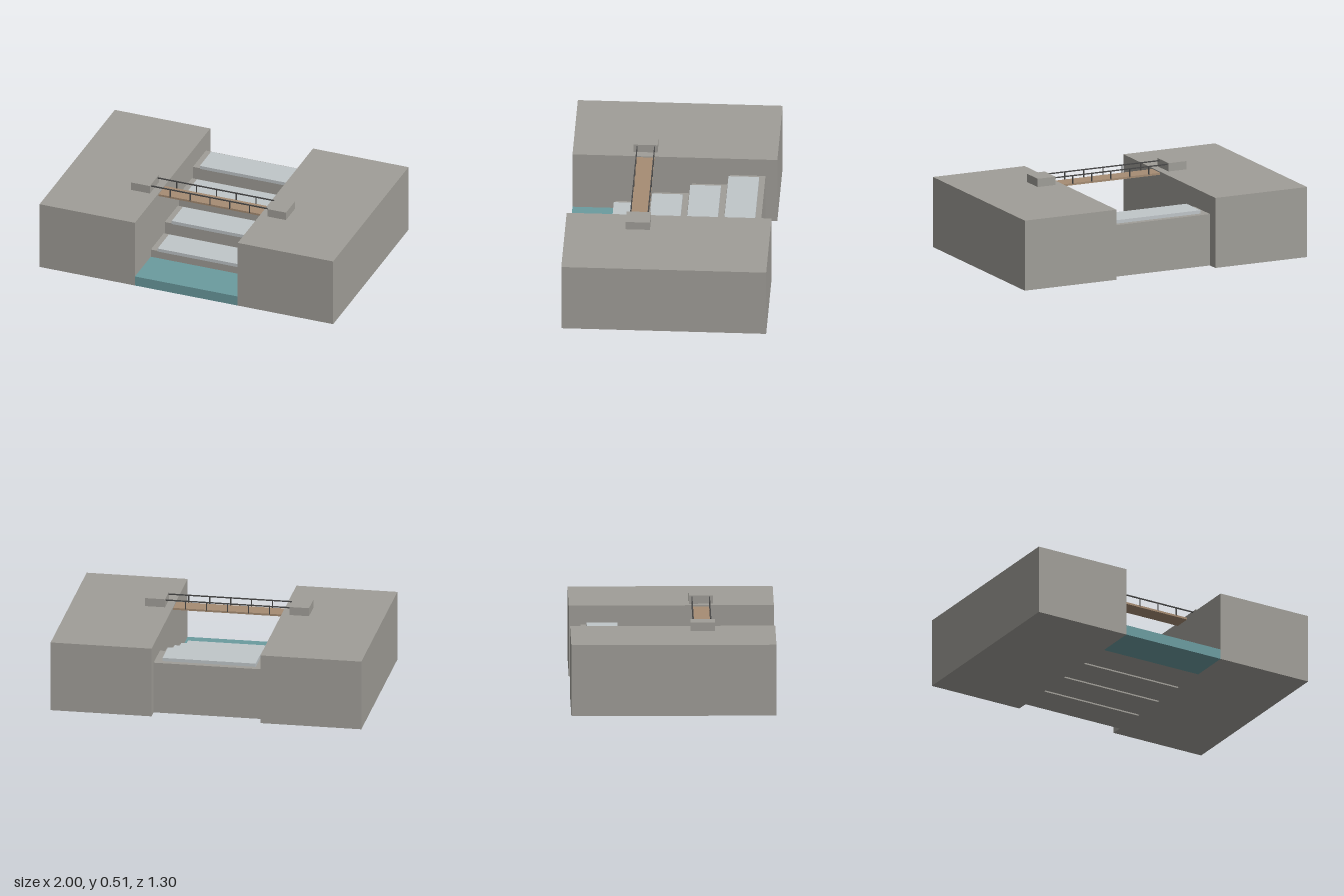
import * as THREE from 'three';

export function createModel() {
  const model = new THREE.Group();
  model.name = 'steppedWeir';

  const mat = (name, color) => {
    const m = new THREE.MeshStandardMaterial({ color });
    m.name = name;
    return m;
  };
  const concrete = mat('concrete', 0xa09e98);
  const pale = mat('shallowWater', 0xc0c6c9);
  const teal = mat('poolWater', 0x6b9b9f);
  const wood = mat('wood', 0xa68c73);
  const metal = mat('darkMetal', 0x484848);

  // Box given by its minimum and maximum on each axis
  const box = (name, material, [x0, x1], [y0, y1], [z0, z1], parent = model) => {
    const mesh = new THREE.Mesh(new THREE.BoxGeometry(x1 - x0, y1 - y0, z1 - z0), material);
    mesh.position.set((x0 + x1) / 2, (y0 + y1) / 2, (z0 + z1) / 2);
    mesh.name = name;
    parent.add(mesh);
  };

  // Banks on both sides of the channel
  const bankTop = 0.457;
  box('leftBank', concrete, [0.35, 1], [0, bankTop], [-0.65, 0.65]);
  box('rightBank', concrete, [-1, -0.35], [0, bankTop], [-0.65, 0.65]);

  // Four basins climbing toward the back, each with a sheet of water
  for (let i = 0; i < 4; i++) {
    const top = 0.118 + i * 0.0725;
    const z = 0.265 - i * 0.2425;
    box(`step${i + 1}`, concrete, [-0.35, 0.35], [0, top], [z - 0.1125, z + 0.1125]);
    box(`stepWater${i + 1}`, pale, [-0.3, 0.3], [top, top + 0.022], [z - 0.075, z + 0.12]);
  }

  // Lower pool at the front
  box('pool', teal, [-0.35, 0.35], [0, 0.066], [0.3775, 0.65]);

  // Footbridge with end blocks, deck, rails and posts
  const bridge = new THREE.Group();
  bridge.name = 'footbridge';
  model.add(bridge);
  box('deck', wood, [-0.4, 0.4], [0.437, 0.45], [0.13, 0.243], bridge);
  box('leftEndBlock', concrete, [0.4, 0.527], [bankTop, 0.511], [0.112, 0.266], bridge);
  box('rightEndBlock', concrete, [-0.527, -0.4], [bankTop, 0.511], [0.112, 0.266], bridge);
  for (const z of [0.131, 0.242]) {
    box('rail', metal, [-0.405, 0.405], [0.496, 0.503], [z - 0.0035, z + 0.0035], bridge);
    for (let i = -2; i <= 2; i++) {
      const x = i * 0.135;
      box('post', metal, [x - 0.003, x + 0.003], [0.445, 0.499], [z - 0.003, z + 0.003], bridge);
    }
  }
  return model;
}
